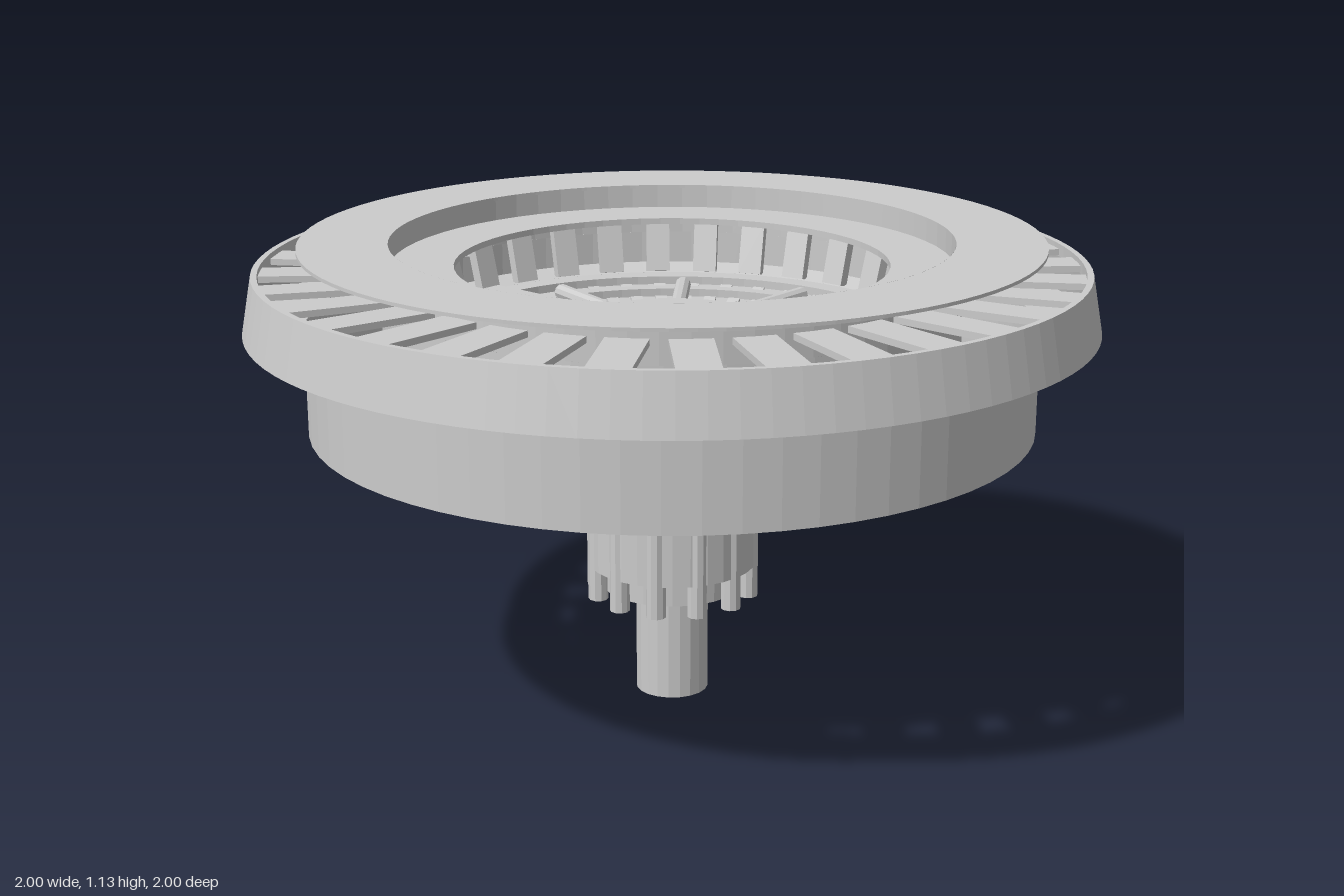
import * as THREE from 'three';

const grey = new THREE.MeshStandardMaterial({ color: 0xcccccc, flatShading: true, side: THREE.DoubleSide });
const NOTCH = 0.05; // half angle of the slot cut through the -x side

export function createModel() {
  const model = new THREE.Group();

  function add(geometry, name, parent = model) {
    const mesh = new THREE.Mesh(geometry, grey);
    mesh.name = name;
    parent.add(mesh);
    return mesh;
  }

  // Turned part from [radius, y] pairs; notch leaves a slot open at -x
  function turn(name, profile, { notch = false, sides = 64 } = {}) {
    const points = profile.map(([r, y]) => new THREE.Vector2(r, y));
    const gap = notch ? NOTCH : 0;
    return add(new THREE.LatheGeometry(points, sides, Math.PI * 1.5 + gap, Math.PI * 2 - 2 * gap), name);
  }

  // Ring of boxes, each [radial length, height, width]
  function boxRing(name, count, radius, y, size, tilt = 0, skipNotch = false) {
    const ring = new THREE.Group();
    ring.name = name;
    const geometry = new THREE.BoxGeometry(...size).rotateZ(tilt).translate(radius, y, 0);
    for (let i = 0; i < count; i++) {
      const angle = (i / count) * Math.PI * 2;
      if (skipNotch && Math.abs(angle - Math.PI) < 0.02) continue;
      add(geometry, name + 'Piece', ring).rotation.y = angle;
    }
    model.add(ring);
  }

  // Top plate with raised collar and recessed floor
  turn('topPlate', [[0.66, 1.12], [0.87, 1.12], [0.87, 1.128], [0.66, 1.128], [0.66, 1.12]], { sides: 96 });
  turn('collar', [[0.68, 1.0], [0.68, 1.12]]);
  turn('recessWall', [[0.66, 1.07], [0.66, 1.128]]);
  turn('recessFloor', [[0.51, 1.07], [0.68, 1.07], [0.68, 1.055], [0.51, 1.055], [0.51, 1.07]]);

  // Sloping outer rim with underside, and the slats across its open top
  turn('outerRim', [[0.86, 0.935], [1.0, 0.935], [0.975, 1.07], [0.96, 1.07], [0.96, 1.04]], { notch: true, sides: 96 });
  boxRing('rimSlat', 32, 0.82, 1.05, [0.29, 0.015, 0.095], 0, true);

  // Double-walled drum, open at the bottom
  turn('outerDrum', [[0.86, 0.69], [0.86, 0.935]], { notch: true });
  turn('innerDrum', [[0.68, 0.69], [0.68, 1.0]], { notch: true });

  // Terraced bowl
  const terraces = [[0.22, 0.77], [0.3, 0.785]];
  const steps = 6;
  for (let i = 0; i < steps; i++) {
    const r = 0.3 + (i * 0.32) / steps;
    const y = 0.785 + ((i + 1) * 0.12) / steps;
    terraces.push([r, y], [r + 0.32 / steps, y]);
  }
  turn('bowl', terraces);
  for (const [r, y, count, width] of [[0.33, 0.805, 32, 0.03], [0.41, 0.825, 40, 0.035], [0.48, 0.845, 48, 0.03]]) {
    boxRing('bowlBlock', count, r, y, [0.03, 0.05, width], 0.36);
  }
  for (const [r, y] of [[0.37, 0.817], [0.445, 0.846], [0.55, 0.885]]) {
    boxRing('undersideBlock', 40, r, y - 0.015, [0.03, 0.03, 0.03], 0.36);
  }
  turn('bowlLip', [[0.62, 0.905], [0.68, 0.92]], { notch: true });
  boxRing('bowlPost', 32, 0.64, 0.97, [0.025, 0.13, 0.06], -0.25);

  // Central hub and its spokes
  turn('hub', [[0, 0.93], [0.22, 0.93], [0.22, 0.77]], { sides: 40 });
  const spokeGeometry = new THREE.CylinderGeometry(0.02, 0.02, 0.32, 10).rotateZ(Math.PI / 2).translate(0.36, 0.895, 0);
  for (let i = 0; i < 10; i++) {
    add(spokeGeometry, 'spoke').rotation.y = THREE.MathUtils.degToRad(20.5 + 36 * i);
  }
  const beam = add(new THREE.BoxGeometry(0.48, 0.03, 0.05), 'entryBeam');
  beam.position.set(-0.45, 0.9, 0);

  // Neck with a chamfered lower edge
  turn('neck', [[0.2, 0.52], [0.255, 0.52], [0.28, 0.54], [0.298, 0.548], [0.298, 0.68], [0.305, 0.685], [0.305, 0.695], [0.298, 0.7], [0.298, 0.785]], { sides: 40 });
  boxRing('neckTooth', 40, 0.268, 0.535, [0.04, 0.012, 0.018], 0.6);

  // Lower column with rods set around its core
  turn('column', [[0, 0.27], [0.17, 0.27], [0.17, 0.33], [0.205, 0.33], [0.205, 0.52]], { sides: 30 });
  const rodGeometry = new THREE.CylinderGeometry(0.024, 0.024, 0.27, 10).translate(0.188, 0.385, 0);
  for (let i = 0; i < 12; i++) {
    add(rodGeometry, 'columnRod').rotation.y = (i / 12) * Math.PI * 2;
  }

  // Bottom shaft
  turn('shaft', [[0, 0], [0.088, 0], [0.088, 0.28]], { sides: 20 });

  return model;
}
